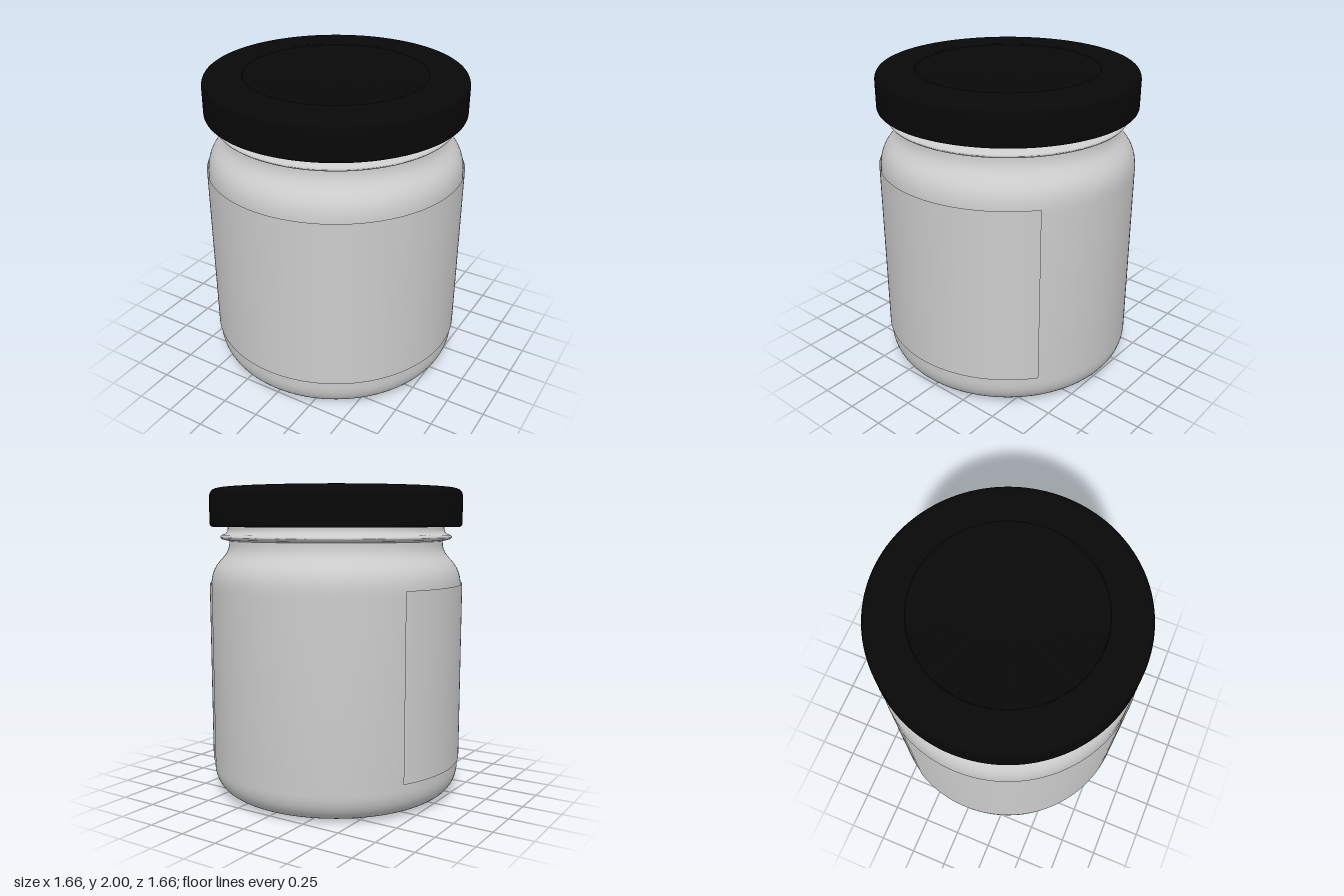
import * as THREE from 'three';
import { toCreasedNormals } from 'three/addons/utils/BufferGeometryUtils.js';

const SEGMENTS = 128;
const glass = new THREE.MeshStandardMaterial({ color: 0xcccccc });
const paper = new THREE.MeshStandardMaterial({ color: 0xcccccc, side: THREE.DoubleSide });
const black = new THREE.MeshStandardMaterial({ color: 0x080808 });

// Spin a 2D path (radius, height) around the y axis
function spin(name, path, divisions, material) {
  const points = path.getPoints(divisions);
  const geometry = toCreasedNormals(new THREE.LatheGeometry(points, SEGMENTS), 0.6);
  const mesh = new THREE.Mesh(geometry, material);
  mesh.name = name;
  return mesh;
}

// Jar: shallow base, rounded foot, straight wall, shoulder, neck ring and mouth
function makeJar() {
  const p = new THREE.Path();
  p.moveTo(0, 0.025);
  p.bezierCurveTo(0.3, 0.025, 0.5, 0, 0.63, 0);
  p.bezierCurveTo(0.75, 0, 0.823, 0.07, 0.823, 0.19);
  p.lineTo(0.823, 1.36);
  p.bezierCurveTo(0.823, 1.56, 0.7, 1.53, 0.7, 1.665);
  p.lineTo(0.745, 1.675);
  p.quadraticCurveTo(0.772, 1.69, 0.745, 1.705);
  p.quadraticCurveTo(0.715, 1.71, 0.71, 1.74);
  p.lineTo(0.71, 1.93);
  p.quadraticCurveTo(0.71, 1.95, 0.69, 1.95);
  p.lineTo(0.66, 1.95);
  p.lineTo(0.65, 1.7);
  return spin('jar', p, 14, glass);
}

// Hollow lid with a rounded top edge and a slightly sunken disc
function makeLid() {
  const p = new THREE.Path();
  p.moveTo(0, 1.965);
  p.lineTo(0.76, 1.965);
  p.quadraticCurveTo(0.79, 1.965, 0.79, 1.935);
  p.lineTo(0.79, 1.765);
  p.quadraticCurveTo(0.79, 1.755, 0.8, 1.755);
  p.quadraticCurveTo(0.825, 1.755, 0.825, 1.78);
  p.lineTo(0.825, 1.94);
  p.quadraticCurveTo(0.825, 2, 0.765, 2);
  p.lineTo(0.585, 2);
  p.quadraticCurveTo(0.578, 2, 0.575, 1.99);
  p.lineTo(0, 1.99);
  return spin('lid', p, 8, black);
}

// Label: thin sheet wrapped around the wall, open at the back
function makeLabel() {
  const start = THREE.MathUtils.degToRad(-118);
  const sweep = THREE.MathUtils.degToRad(261);
  const geometry = new THREE.CylinderGeometry(0.832, 0.832, 1.16, SEGMENTS, 1, true, start, sweep);
  const mesh = new THREE.Mesh(geometry, paper);
  mesh.name = 'label';
  mesh.position.y = 0.81;
  return mesh;
}

export function createModel() {
  const group = new THREE.Group();
  group.name = 'jarWithLid';
  group.add(makeJar(), makeLid(), makeLabel());
  return group;
}
